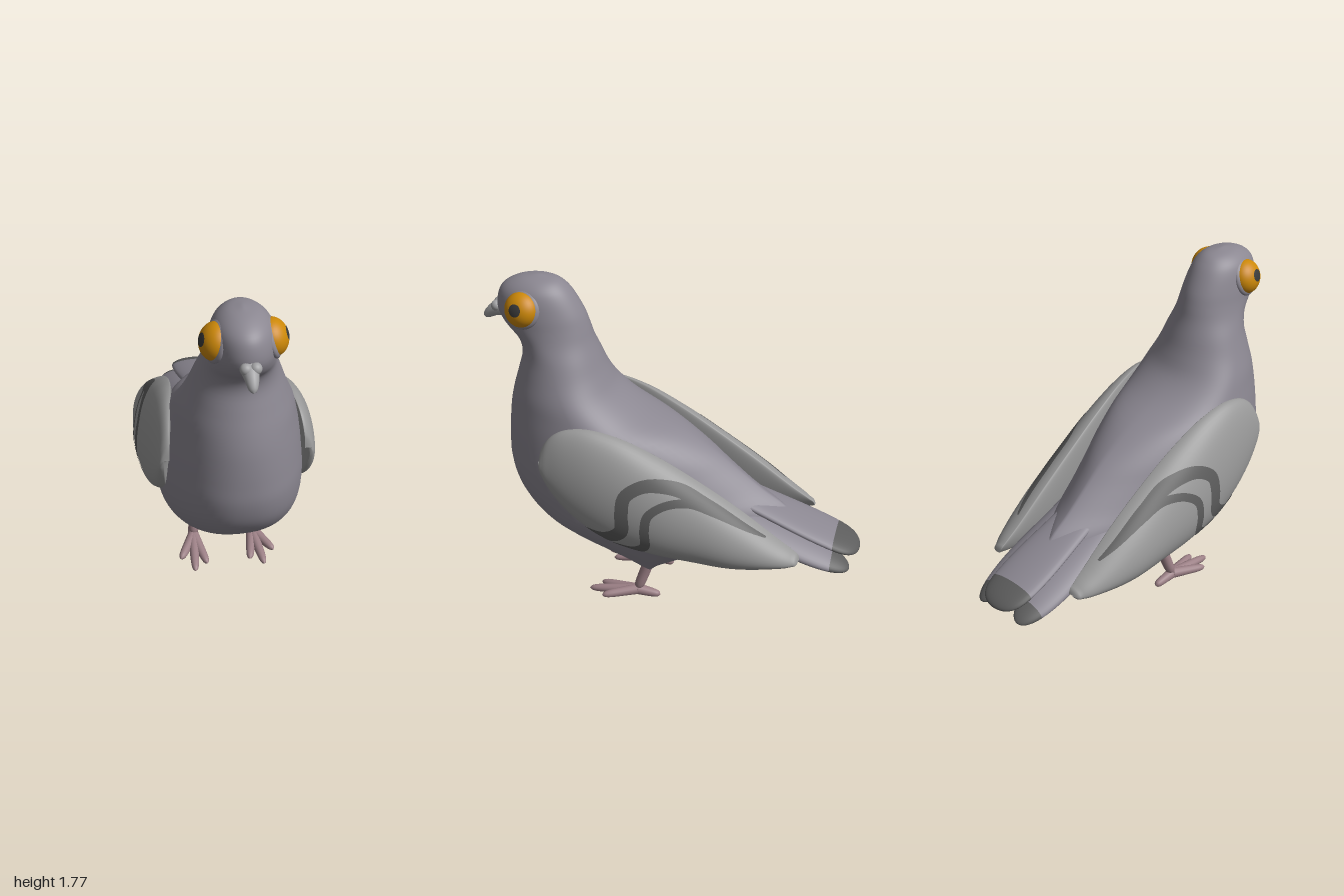
import * as THREE from 'three';

const paint = (color) => new THREE.MeshStandardMaterial({ color, side: THREE.DoubleSide });
const BODY = paint(0x8b8791), WING = paint(0x989898), DARK = paint(0x5c5c5c);
const SKIN = paint(0x9c8086), BEAK = paint(0xa2a2a4), ORANGE = paint(0xcc8808), PUPIL = paint(0x3a3a3a);

const V = (x, y, z) => new THREE.Vector3(x, y, z);

function add(parent, name, geometry, material) {
  const mesh = new THREE.Mesh(geometry, material);
  mesh.name = name;
  parent.add(mesh);
  return mesh;
}

// Smooth interpolation of table rows at the given keys
function interpolate(keys, rows) {
  const spline = new THREE.CubicInterpolant(keys, rows.flat(), rows[0].length);
  return (k) => Array.from(spline.evaluate(k));
}

// Skin over closed rings, with optional end caps; winding is turned outward
function loft(rings, capStart = true, capEnd = true) {
  const n = rings[0].length, last = (rings.length - 1) * n;
  const centre = (ring) => ring.reduce((s, p) => s.add(p), V(0, 0, 0)).divideScalar(n);
  const points = rings.flat(), index = [];
  for (let i = 0; i < rings.length - 1; i++) {
    for (let j = 0; j < n; j++) {
      const a = i * n + j, b = i * n + (j + 1) % n;
      index.push(a, b, a + n, b, b + n, a + n);
    }
  }
  if (capStart) {
    points.push(centre(rings[0]));
    for (let j = 0; j < n; j++) index.push(points.length - 1, (j + 1) % n, j);
  }
  if (capEnd) {
    points.push(centre(rings[rings.length - 1]));
    for (let j = 0; j < n; j++) index.push(points.length - 1, last + j, last + (j + 1) % n);
  }
  const ref = centre(rings[0]);
  let volume = 0;
  for (let i = 0; i < index.length; i += 3) {
    const [a, b, c] = [0, 1, 2].map((k) => points[index[i + k]].clone().sub(ref));
    volume += a.dot(b.cross(c));
  }
  if (volume < 0) index.reverse();
  const geometry = new THREE.BufferGeometry().setFromPoints(points);
  geometry.setIndex(index);
  geometry.computeVertexNormals();
  return geometry;
}

// Round tapering limb along a curve with a rounded tip
function limb(points, r0, r1, steps = 20, sides = 14) {
  const curve = new THREE.CatmullRomCurve3(points);
  const frames = curve.computeFrenetFrames(steps);
  const rings = [];
  for (let i = 0; i <= steps; i++) {
    const t = i / steps, p = curve.getPointAt(t);
    const r = THREE.MathUtils.lerp(r0, r1, t) * Math.max(0.08, Math.sqrt(1 - t ** 10));
    rings.push(Array.from({ length: sides }, (_, j) => {
      const a = (j / sides) * Math.PI * 2;
      return p.clone().addScaledVector(frames.normals[i], r * Math.cos(a))
        .addScaledVector(frames.binormals[i], r * Math.sin(a));
    }));
  }
  return loft(rings);
}

// Horizontal body sections: y, front z, back z, half width, z of widest point, rear taper
const bodyRows = [
  [1.78, 0.72, 0.68, 0.01, 0.7, 1], [1.765, 0.8, 0.6, 0.07, 0.7, 1], [1.73, 0.87, 0.55, 0.115, 0.7, 1],
  [1.68, 0.905, 0.51, 0.14, 0.7, 1], [1.6, 0.915, 0.465, 0.155, 0.68, 1], [1.53, 0.88, 0.44, 0.163, 0.65, 1],
  [1.46, 0.81, 0.42, 0.178, 0.62, 1], [1.38, 0.79, 0.39, 0.205, 0.58, 1], [1.28, 0.815, 0.35, 0.24, 0.55, 1],
  [1.18, 0.845, 0.29, 0.28, 0.5, 1], [1.09, 0.865, 0.165, 0.305, 0.45, 1.1], [1, 0.875, -0.045, 0.325, 0.42, 1.2],
  [0.9, 0.88, -0.215, 0.34, 0.4, 1.35], [0.8, 0.88, -0.345, 0.352, 0.38, 1.5], [0.7, 0.86, -0.475, 0.36, 0.35, 1.6],
  [0.62, 0.825, -0.595, 0.36, 0.33, 1.65], [0.54, 0.765, -0.66, 0.355, 0.3, 1.7], [0.48, 0.7, -0.67, 0.338, 0.28, 1.7],
  [0.44, 0.645, -0.62, 0.32, 0.25, 1.6], [0.4, 0.58, -0.46, 0.3, 0.22, 1.5], [0.35, 0.49, -0.295, 0.27, 0.17, 1.3],
  [0.28, 0.36, -0.14, 0.225, 0.12, 1.1], [0.22, 0.22, 0, 0.185, 0.11, 1], [0.188, 0.14, 0.06, 0.162, 0.1, 1],
  [0.175, 0.1, 0.1, 0.145, 0.1, 1],
];

function bodyGeometry() {
  const at = interpolate(bodyRows.map((_, i) => i), bodyRows), rings = [];
  for (let i = 0; i <= 96; i++) {
    const [y, front, back, half, mid, taper] = at(i / 4);
    rings.push(Array.from({ length: 64 }, (_, j) => {
      const a = (j / 64) * Math.PI * 2, c = Math.cos(a), s = Math.sin(a);
      const x = half * Math.sign(s) * Math.abs(s) ** (c < 0 ? taper : 1.2 - 0.2 * taper);
      // hollow between the thighs
      const low = THREE.MathUtils.clamp((0.29 - y) / 0.1, 0, 1);
      return V(x, y + 0.05 * low * Math.exp(-((x / 0.075) ** 2)), mid + c * (c > 0 ? front - mid : mid - back));
    }));
  }
  return loft(rings, true, false);
}

// Wing outline along z: top y, bottom y, bulge
const wingAt = interpolate(
  [-0.72, -0.715, -0.69, -0.61, -0.4, -0.18, 0.03, 0.25, 0.43, 0.55, 0.6, 0.615, 0.62],
  [[0.475, 0.475, 0], [0.492, 0.463, 0.025], [0.515, 0.452, 0.05], [0.57, 0.438, 0.092], [0.72, 0.412, 0.148],
    [0.86, 0.42, 0.165], [0.98, 0.44, 0.168], [1.075, 0.49, 0.143], [1.1, 0.6, 0.1], [1.055, 0.735, 0.058],
    [0.99, 0.83, 0.033], [0.95, 0.875, 0.018], [0.91, 0.91, 0]],
);

// Wing surface at z and height fraction v, fullest below the middle; depth scales the bulge
function wingPoint(side, z, v, depth, lift = 0) {
  const [top, bottom, bulge] = wingAt(z);
  const w = v ** 0.8, edge = 0.275 + 0.07 * z + 0.07 * z * z + 0.015 * (1 - 2 * v);
  const x = edge + depth * bulge * Math.sqrt(Math.max(0, 4 * w * (1 - w))) + lift;
  return V(side * x, THREE.MathUtils.lerp(bottom, top, v), z);
}

function wingGeometry(side) {
  return loft(Array.from({ length: 65 }, (_, i) => {
    const z = -0.05 - 0.67 * Math.cos((i / 64) * Math.PI);
    return Array.from({ length: 56 }, (_, j) =>
      wingPoint(side, z, 0.5 - 0.5 * Math.cos((j / 28) * Math.PI), j < 28 ? 1 : -0.2));
  }), false, false);
}

// Wavy band laid on the outer wing surface; path holds [z, y] pairs
function bandGeometry(side, path, half) {
  const curve = new THREE.CatmullRomCurve3(path.map(([z, y]) => V(0, y, z)));
  const geometry = new THREE.PlaneGeometry(1, 1, 90, 6), { position, uv } = geometry.attributes;
  for (let i = 0; i < position.count; i++) {
    const t = uv.getX(i), p = curve.getPointAt(t), d = curve.getTangentAt(t);
    const w = (uv.getY(i) * 2 - 1) * half * (1 - 0.95 * t ** 2);
    const z = p.z - d.y * w;
    const [top, bottom] = wingAt(z);
    const v = THREE.MathUtils.clamp((p.y + d.z * w - bottom) / (top - bottom), 0, 1);
    position.setXYZ(i, ...wingPoint(side, z, v, 1, 0.003));
  }
  geometry.computeVertexNormals();
  return geometry;
}
const bands = [
  [[[0.37, 0.545], [0.25, 0.555], [0.165, 0.62], [0.16, 0.73], [0.145, 0.82], [0.06, 0.875], [-0.075, 0.865], [-0.26, 0.775], [-0.55, 0.605]], 0.038],
  [[[0.22, 0.49], [0.11, 0.495], [0.045, 0.54], [0.04, 0.65], [0.025, 0.73], [-0.05, 0.785], [-0.16, 0.795], [-0.3, 0.74], [-0.52, 0.62]], 0.027],
];

// Flat rounded tail feather with a dark tip; roll lets the outer edge droop
function tailFeather(parent, name, x, y, endZ, half, thick, power, roll) {
  const split = (0.87 - 0.25) / (-endZ - 0.25);
  const piece = (from, to) => Array.from({ length: 25 }, (_, i) => {
    const u = i / 24, s = from + (to - from) * (to === 1 ? Math.sin(u * Math.PI / 2) : u);
    const round = Math.max(0.02, Math.sqrt(Math.max(0, 1 - s ** power)));
    const width = half * round * (0.83 + 0.17 * THREE.MathUtils.smoothstep(s, 0.1, 0.7));
    const z = -0.25 + (endZ + 0.25) * s;
    return Array.from({ length: 32 }, (_, j) => {
      const a = (j / 32) * Math.PI * 2, dx = width * Math.cos(a);
      return V(x + dx, y + 0.38 * (z + 0.61) - roll * dx + thick * round * Math.sin(a), z);
    });
  });
  add(parent, name, loft(piece(0, split), true, false), BODY);
  add(parent, name + 'Tip', loft(piece(split, 1), false, true), DARK);
}

function addEye(parent, side) {
  const eye = new THREE.Group();
  eye.name = side > 0 ? 'leftEye' : 'rightEye';
  eye.position.set(side * 0.127, 1.638, 0.745);
  eye.quaternion.setFromUnitVectors(V(0, 1, 0), V(side, 0.32, 0.2).normalize());
  const ball = (name, r, h, material, angle = Math.PI) =>
    add(eye, name, new THREE.SphereGeometry(1, 40, 24, 0, Math.PI * 2, 0, angle), material).scale.set(r, h, r);
  ball('eyeRim', 0.1, 0.035, BODY);
  ball('iris', 0.09, 0.074, ORANGE);
  ball('pupil', 0.0912, 0.0752, PUPIL, 0.36);
  parent.add(eye);
}

function addLeg(parent, side) {
  const leg = new THREE.Group();
  leg.name = side > 0 ? 'leftLeg' : 'rightLeg';
  const ankle = V(side * 0.16, 0.045, 0.165);
  add(leg, 'shank', limb([V(side * 0.135, 0.27, 0.09), V(side * 0.145, 0.15, 0.13), ankle], 0.031, 0.029), SKIN);
  // three front toes and one hind toe
  for (const [x, y, z] of [[0.115, 0.022, 0.38], [0.185, 0.022, 0.43], [0.25, 0.036, 0.34], [0.15, 0.024, 0.04]]) {
    const tip = V(side * x, y, z);
    add(leg, 'toe', limb([ankle, ankle.clone().lerp(tip, 0.5), tip], 0.03, 0.02), SKIN);
  }
  parent.add(leg);
}

export function createModel() {
  const bird = new THREE.Group();
  bird.name = 'pigeon';
  add(bird, 'body', bodyGeometry(), BODY);

  // Beak with two soft lumps at its root
  add(bird, 'beak', limb([V(0, 1.585, 0.87), V(0, 1.565, 0.935), V(0, 1.517, 1)], 0.05, 0.02), BEAK);

  tailFeather(bird, 'middleTailFeather', 0, 0.573, -1, 0.14, 0.036, 14, 0);
  for (const side of [1, -1]) {
    const label = side > 0 ? 'left' : 'right';
    tailFeather(bird, label + 'TailFeather', side * 0.125, 0.507, -0.965, 0.112, 0.045, 5, side * 0.2);
    add(bird, label + 'Wing', wingGeometry(side), WING);
    bands.forEach(([path, half]) => add(bird, label + 'WingBand', bandGeometry(side, path, half), DARK));
    const lump = add(bird, label + 'BeakLump', new THREE.SphereGeometry(0.028, 20, 14), BEAK);
    lump.position.set(side * 0.022, 1.593, 0.922);
    addEye(bird, side);
    addLeg(bird, side);
  }
  return bird;
}
